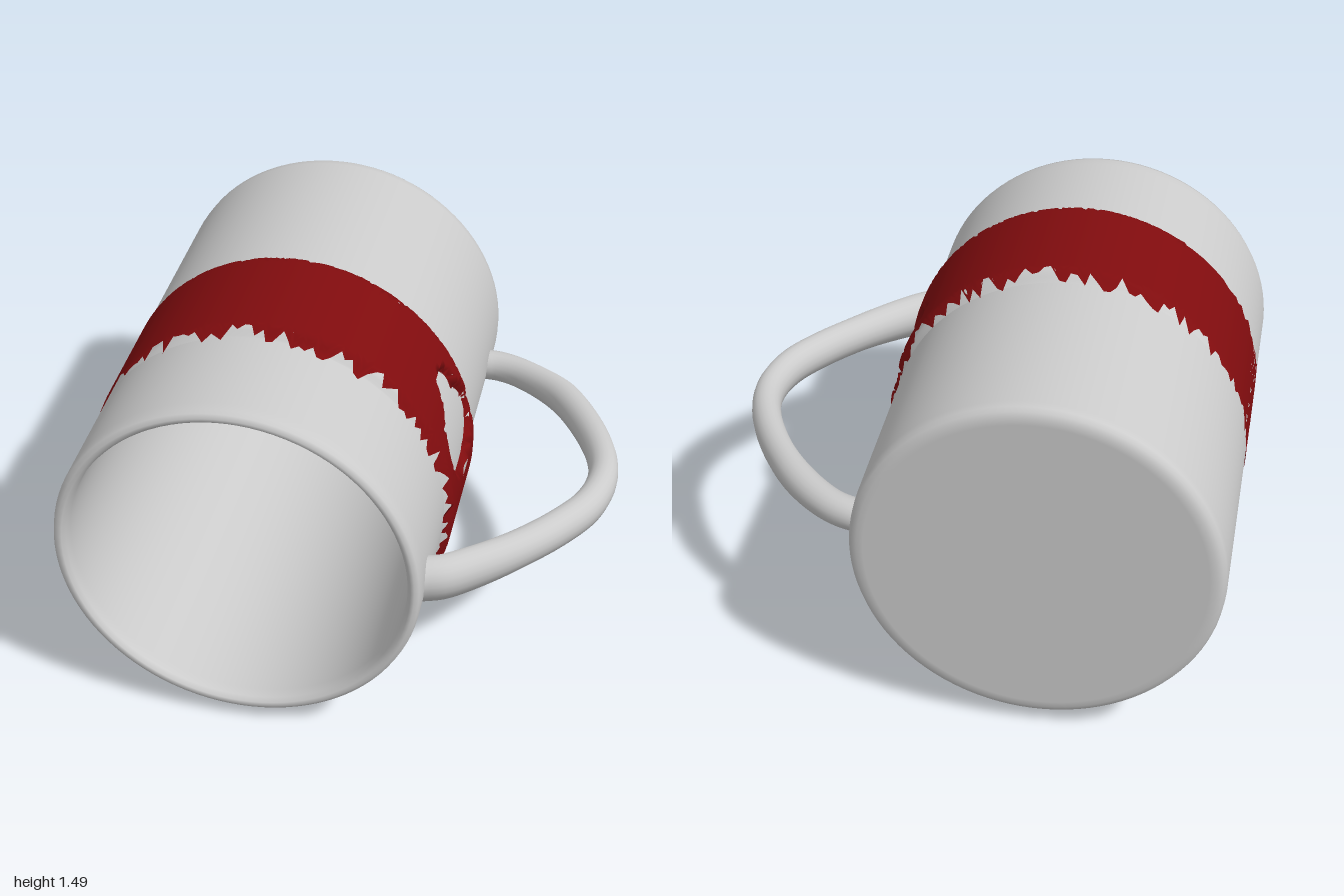
import * as THREE from 'three';
import { ParametricGeometry } from 'three/addons/geometries/ParametricGeometry.js';

const grey = new THREE.MeshStandardMaterial({ color: 0xcccccc, side: THREE.DoubleSide });
const red = new THREE.MeshStandardMaterial({ color: 0x800c0e, side: THREE.DoubleSide });
const COLUMNS = 180, ROWS = 48;
const { lerp, smoothstep } = THREE.MathUtils;

// Repeatable noise between 0 and 1
function noise(n) {
  const s = Math.sin((n + 1) * 12.9898) * 43758.5453;
  return s - Math.floor(s);
}

// 1 inside an oval on the sleeve (angle, z), 0 outside, with a soft rim
function oval(angle, z, a0, z0, ra, rz) {
  const d = Math.hypot((angle - a0) / ra, (z - z0) / rz);
  return 1 - smoothstep(d, 0.85, 1.05);
}

// Sleeve around the cup; swells from the cup wall to the raised band
function sleeve(name, material, { front, back, lift, ragged, painted }) {
  const geometry = new ParametricGeometry((u, v, p) => {
    const angle = u * Math.PI * 2;
    const column = Math.round(u * COLUMNS) % COLUMNS;
    const z = lerp(front + ragged * noise(column), back - ragged * noise(column + 500), 1 - v);
    // gap beside the handle, with a narrower upper end
    const gap = Math.max(oval(angle, z, 0.24, 0.14, 0.24, 0.2), oval(angle, z, 0.46, 0.11, 0.13, 0.1));
    const swell = smoothstep(z, -0.1, -0.04) * (1 - smoothstep(z, 0.41, 0.46)) * (1 - gap);
    let offset = lift - 0.02 * gap;
    if (painted) {
      // worn paint on the far side
      const wear = oval(angle, z, 3.4, 0.05, 0.24, 0.2);
      const speckle = Math.abs(angle - 3.2) < 0.3 && noise(column * 7 + Math.round(v * ROWS) * 13) > 0.85;
      offset -= 0.02 * wear + (speckle ? 0.015 : 0);
    }
    p.set(
      lerp(-0.31, -0.295, swell) + (lerp(0.69, 0.705, swell) + offset) * Math.cos(angle),
      lerp(0.755, 0.748, swell) + (lerp(0.695, 0.742, swell) + offset) * Math.sin(angle),
      z
    );
  }, COLUMNS, ROWS);
  const mesh = new THREE.Mesh(geometry, material);
  mesh.name = name;
  return mesh;
}

// Cup turned as one profile: base, outer wall, rim, inner wall, floor
function cup() {
  const profile = [
    [0, -0.93], [0.63, -0.93], [0.655, -0.928], [0.677, -0.918], [0.687, -0.9], [0.69, -0.87],
    [0.692, 0.86], [0.692, 0.9], [0.686, 0.92], [0.67, 0.93], [0.655, 0.927], [0.642, 0.91],
    [0.638, 0.87], [0.622, -0.74], [0.615, -0.79], [0.595, -0.825], [0.56, -0.84], [0.5, -0.845], [0, -0.845],
  ].map(([r, y]) => new THREE.Vector2(r, y));
  const geometry = new THREE.LatheGeometry(profile, 96);
  geometry.rotateX(Math.PI / 2);
  geometry.scale(1, 1.006, 1);
  const mesh = new THREE.Mesh(geometry, grey);
  mesh.name = 'cup';
  mesh.position.set(-0.31, 0.755, 0);
  return mesh;
}

// Bowed handle with an oval section, broader at the rim end
function handle() {
  const path = new THREE.CatmullRomCurve3([
    [0.35, -0.65], [0.43, -0.645], [0.53, -0.605], [0.7, -0.465], [0.845, -0.25], [0.925, -0.05],
    [0.938, 0.09], [0.9, 0.25], [0.8, 0.41], [0.665, 0.565], [0.53, 0.69], [0.43, 0.765], [0.36, 0.79],
  ].map(([x, z]) => new THREE.Vector3(x, 0, z)));
  const geometry = new THREE.TubeGeometry(path, 80, 0.058, 20, false);
  const pos = geometry.attributes.position;
  for (let i = 0; i < pos.count; i++) {
    const z = pos.getZ(i);
    const stretch = 1.42 + 0.3 * smoothstep(z, 0.5, 0.8) - 0.3 * smoothstep(-z, 0.4, 0.68);
    pos.setY(i, pos.getY(i) * stretch - 0.025 * smoothstep(-z, 0.4, 0.68));
  }
  const mesh = new THREE.Mesh(geometry, grey);
  mesh.name = 'handle';
  mesh.position.y = 0.715;
  return mesh;
}

export function createModel() {
  const group = new THREE.Group();
  group.name = 'mug';
  group.add(
    cup(),
    handle(),
    sleeve('raisedBand', grey, { front: 0.48, back: -0.12, lift: -0.006, ragged: 0, painted: false }),
    sleeve('redPaint', red, { front: 0.41, back: -0.04, lift: 0.003, ragged: 0.07, painted: true })
  );
  return group;
}
